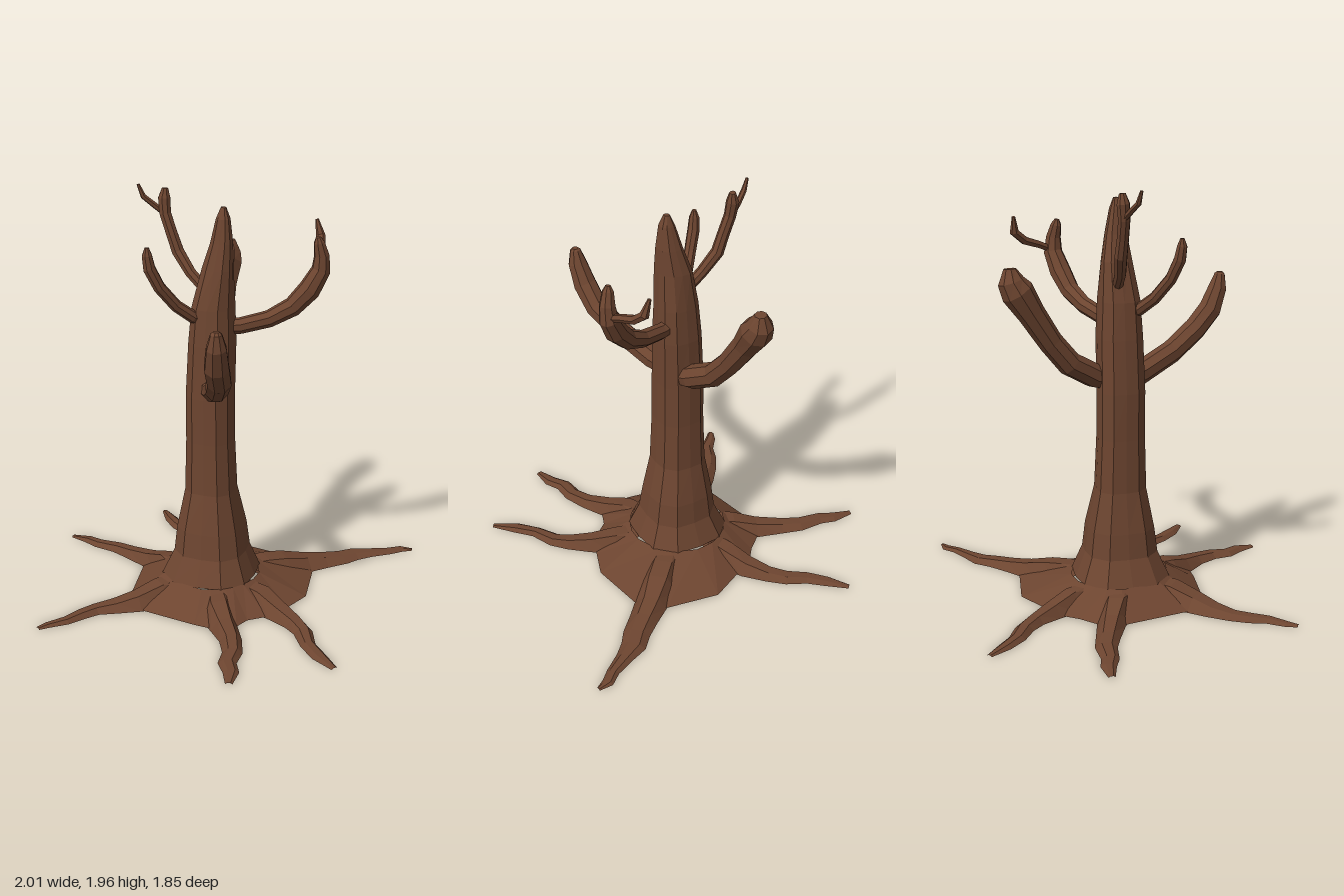
import * as THREE from 'three';

const bark = new THREE.MeshStandardMaterial({ color: 0x6d4530, flatShading: true, side: THREE.DoubleSide });
bark.name = 'bark brown';

// Skin a list of equally long rings of Vector3.
function loft(name, rings, closed = true) {
  const n = rings[0].length;
  const index = [];
  for (let i = 0; i < rings.length - 1; i++) {
    for (let j = 0; j < (closed ? n : n - 1); j++) {
      const k = (j + 1) % n;
      const a = i * n + j, b = i * n + k, c = a + n, d = b + n;
      index.push(a, b, d, a, d, c);
    }
  }
  const geo = new THREE.BufferGeometry().setFromPoints(rings.flat());
  geo.setIndex(index);
  geo.computeVertexNormals();
  const mesh = new THREE.Mesh(geo, bark);
  mesh.name = name;
  return mesh;
}

const UP = new THREE.Vector3(0, 1, 0);

// Tapered limb through [x, y, z, radius] points, closed with a point at the tip.
function limb(name, pts, sides = 8) {
  const centres = pts.map(p => new THREE.Vector3(p[0], p[1], p[2]));
  const last = pts.length - 1;
  const rings = pts.map((p, i) => {
    const t = centres[Math.min(i + 1, last)].clone().sub(centres[Math.max(i - 1, 0)]).normalize();
    const q = new THREE.Quaternion().setFromUnitVectors(UP, t);
    return Array.from({ length: sides }, (_, j) => {
      const a = j / sides * Math.PI * 2;
      return new THREE.Vector3(Math.sin(a) * p[3], 0, Math.cos(a) * p[3]).applyQuaternion(q).add(centres[i]);
    });
  });
  rings.push(Array.from({ length: sides }, () => centres[last].clone()));
  rings.unshift(Array.from({ length: sides }, () => centres[0].clone()));
  return loft(name, rings);
}

// Ground root through [x, z, half width, height] points, open underneath.
function root(name, pts) {
  const last = pts.length - 1;
  const rings = pts.map(([x, z, w, h], i) => {
    const a = pts[Math.max(i - 1, 0)], b = pts[Math.min(i + 1, last)];
    const t = new THREE.Vector3(b[0] - a[0], 0, b[1] - a[1]).normalize();
    const s = UP.clone().cross(t);
    const at = (k, y) => new THREE.Vector3(x, y, z).addScaledVector(s, k * w);
    const foot = i === 0 ? h * 0.8 : 0;
    return [at(1, foot), at(0.5, h), at(-0.4, h * 0.95), at(-1, foot)];
  });
  return loft(name, rings, false);
}

export function createModel() {
  const tree = new THREE.Group();
  tree.name = 'bareTree';

  // Trunk: [centre x, y, centre z, radius x, radius z]
  const trunkRings = [
    [-0.1, 0.1, -0.02, 0.235, 0.24], [-0.095, 0.22, -0.018, 0.18, 0.185],
    [-0.095, 0.34, -0.02, 0.165, 0.168], [-0.098, 0.53, -0.02, 0.122, 0.132],
    [-0.1, 0.78, -0.02, 0.113, 0.122], [-0.1, 1.0, -0.02, 0.113, 0.12],
    [-0.09, 1.25, -0.018, 0.11, 0.112], [-0.085, 1.42, -0.015, 0.1, 0.1],
    [-0.068, 1.6, -0.005, 0.07, 0.085], [-0.055, 1.72, 0.01, 0.05, 0.06],
    [-0.052, 1.83, 0.02, 0.032, 0.036], [-0.05, 1.88, 0.02, 0.012, 0.015], [-0.05, 1.882, 0.02, 0, 0],
  ].map(([x, y, z, rx, rz]) => Array.from({ length: 12 }, (_, j) => {
    const a = (j + 0.5) / 12 * Math.PI * 2, k = j % 3 === 1 ? 0.93 : 1.02;
    return new THREE.Vector3(x + Math.sin(a) * rx * k, y, z + Math.cos(a) * rz * k);
  }));
  tree.add(loft('trunk', trunkRings));

  // Flared skirt between the roots, hollow underneath
  const rim = [
    [-0.1, 0.37], [0, 0.38], [0.13, 0.34], [0.26, 0.28], [0.42, 0.06], [0.42, -0.1],
    [0.27, -0.32], [0.1, -0.38], [0, -0.42], [-0.1, -0.41], [-0.2, -0.42], [-0.31, -0.37],
    [-0.5, -0.09], [-0.5, 0.07], [-0.34, 0.3], [-0.29, 0.36], [-0.17, 0.4],
  ];
  const foot = rim.map(([x, z]) => new THREE.Vector3(x, 0.004, z));
  const collar = rim.map(([x, z]) => {
    const a = Math.atan2(x + 0.1, z + 0.02);
    return new THREE.Vector3(-0.1 + Math.sin(a) * 0.235, 0.105, -0.02 + Math.cos(a) * 0.24);
  });
  tree.add(loft('rootSkirt', [foot, collar]));

  // Roots
  const roots = {
    leftRoot: [[0.08, -0.02, 0.07, 0.1], [0.2, -0.02, 0.1, 0.098], [0.3, -0.02, 0.1, 0.085], [0.42, -0.02, 0.08, 0.055],
      [0.52, -0.012, 0.07, 0.038], [0.62, -0.005, 0.065, 0.027], [0.7, -0.012, 0.06, 0.022], [0.78, 0.008, 0.042, 0.018],
      [0.88, 0.035, 0.03, 0.015], [0.95, 0.04, 0.028, 0.012], [1, 0.07, 0.01, 0.006]],
    rightRoot: [[-0.28, -0.02, 0.07, 0.1], [-0.38, -0.015, 0.1, 0.095], [-0.5, -0.015, 0.085, 0.058], [-0.6, -0.03, 0.07, 0.034],
      [-0.7, -0.04, 0.05, 0.025], [-0.78, -0.025, 0.045, 0.022], [-0.86, 0, 0.035, 0.018], [-0.95, 0, 0.026, 0.012], [-1, 0.01, 0.015, 0.006]],
    backRightRoot: [[-0.18, -0.18, 0.07, 0.1], [-0.22, -0.29, 0.08, 0.09], [-0.26, -0.4, 0.065, 0.055], [-0.31, -0.52, 0.055, 0.034],
      [-0.35, -0.61, 0.05, 0.025], [-0.42, -0.7, 0.04, 0.02], [-0.45, -0.77, 0.035, 0.016], [-0.51, -0.85, 0.015, 0.006]],
    backRoot: [[-0.04, -0.2, 0.06, 0.1], [0.01, -0.31, 0.075, 0.088], [0.045, -0.42, 0.065, 0.055], [0.065, -0.53, 0.05, 0.034],
      [0.065, -0.62, 0.046, 0.026], [0.04, -0.72, 0.04, 0.02], [0.04, -0.82, 0.034, 0.016], [0.05, -0.93, 0.014, 0.006]],
    frontRoot: [[-0.02, 0.17, 0.06, 0.1], [0.03, 0.27, 0.08, 0.088], [0.06, 0.39, 0.065, 0.055], [0.08, 0.5, 0.052, 0.036],
      [0.08, 0.58, 0.046, 0.026], [0.045, 0.69, 0.036, 0.02], [0.04, 0.8, 0.036, 0.016], [0.05, 0.92, 0.016, 0.006]],
    frontRightRoot: [[-0.17, 0.17, 0.06, 0.1], [-0.21, 0.28, 0.08, 0.088], [-0.23, 0.39, 0.065, 0.055], [-0.25, 0.5, 0.052, 0.036],
      [-0.29, 0.6, 0.046, 0.026], [-0.35, 0.67, 0.042, 0.02], [-0.37, 0.75, 0.036, 0.016], [-0.42, 0.83, 0.016, 0.006]],
  };
  for (const [name, pts] of Object.entries(roots)) tree.add(root(name, pts));

  // Branches and twigs
  const limbs = {
    frontBranch: [[-0.12, 1.04, 0.03, 0.055], [-0.14, 1.06, 0.11, 0.055], [-0.21, 1.13, 0.28, 0.055], [-0.265, 1.22, 0.42, 0.056],
      [-0.31, 1.31, 0.49, 0.057], [-0.33, 1.41, 0.53, 0.046], [-0.335, 1.475, 0.54, 0.026], [-0.335, 1.485, 0.54, 0.015]],
    backBranch: [[-0.05, 1.05, -0.05, 0.05], [-0.01, 1.075, -0.11, 0.058], [0.05, 1.15, -0.23, 0.058], [0.1, 1.26, -0.31, 0.056],
      [0.15, 1.4, -0.39, 0.062], [0.19, 1.5, -0.44, 0.075], [0.21, 1.55, -0.46, 0.06], [0.215, 1.605, -0.46, 0.028]],
    leftBranch: [[-0.04, 1.32, 0, 0.035], [0.03, 1.325, 0.03, 0.038], [0.15, 1.355, 0.08, 0.04], [0.25, 1.41, 0.12, 0.046],
      [0.32, 1.49, 0.15, 0.052], [0.37, 1.58, 0.165, 0.045], [0.37, 1.65, 0.17, 0.036], [0.355, 1.71, 0.17, 0.026], [0.35, 1.735, 0.17, 0.012]],
    leftTwig: [[0.375, 1.59, 0.16, 0.016], [0.41, 1.62, 0.1, 0.019], [0.445, 1.645, 0.03, 0.021], [0.47, 1.69, -0.02, 0.022], [0.46, 1.765, -0.04, 0.008]],
    rightBranch: [[-0.12, 1.355, -0.01, 0.026], [-0.19, 1.385, -0.01, 0.029], [-0.27, 1.445, -0.015, 0.028], [-0.35, 1.54, -0.015, 0.028],
      [-0.395, 1.63, -0.02, 0.029], [-0.405, 1.69, -0.02, 0.024], [-0.405, 1.725, -0.02, 0.01]],
    topBranch: [[-0.11, 1.5, -0.07, 0.026], [-0.15, 1.56, -0.12, 0.027], [-0.185, 1.65, -0.18, 0.03], [-0.205, 1.73, -0.2, 0.028],
      [-0.225, 1.82, -0.225, 0.028], [-0.225, 1.89, -0.235, 0.03], [-0.22, 1.935, -0.235, 0.015]],
    topTwig: [[-0.225, 1.82, -0.23, 0.014], [-0.27, 1.86, -0.25, 0.014], [-0.315, 1.9, -0.265, 0.013], [-0.335, 1.955, -0.275, 0.007]],
  };
  for (const [name, pts] of Object.entries(limbs)) tree.add(limb(name, pts, name.endsWith('Twig') ? 6 : 8));

  return tree;
}
